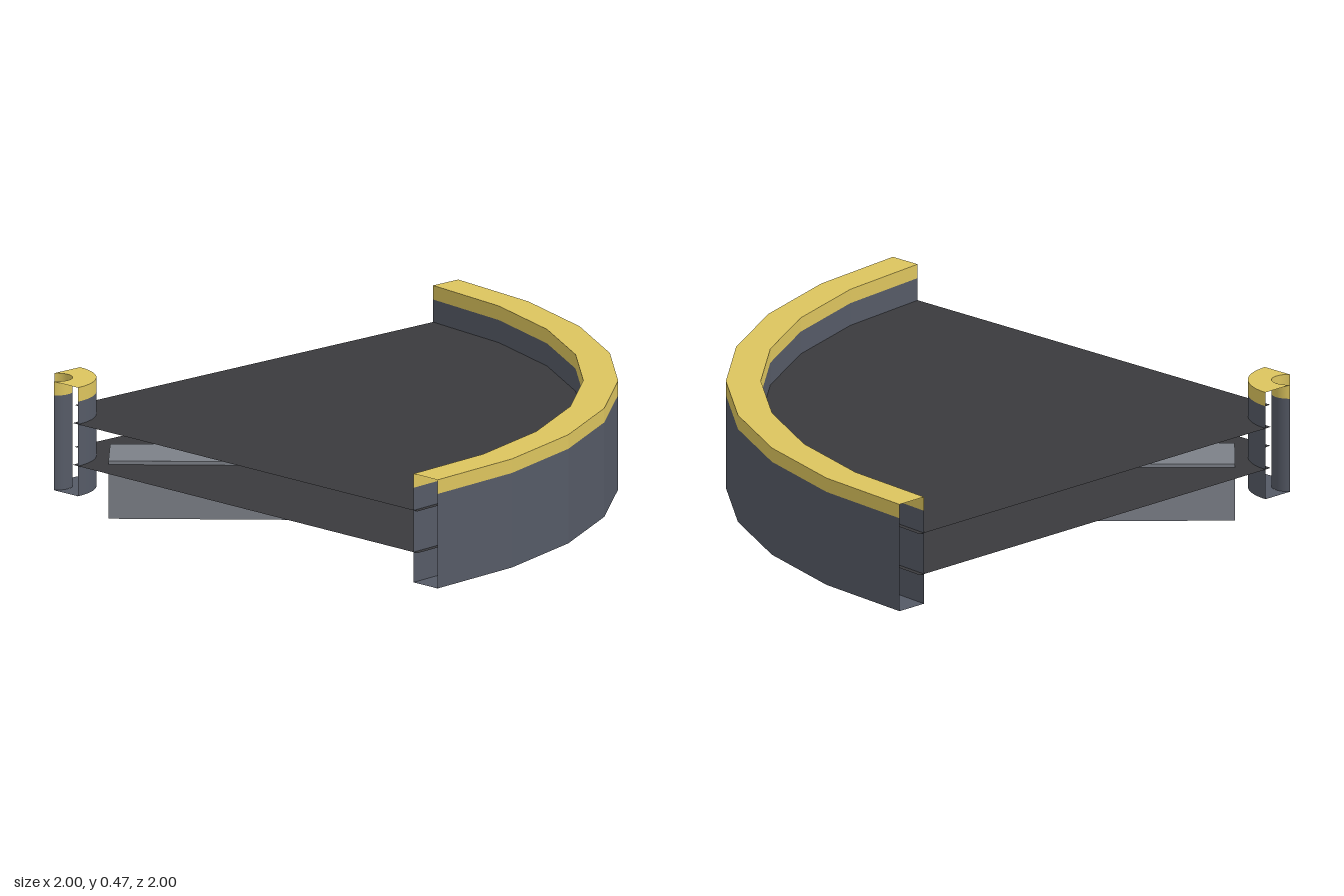
import * as THREE from 'three';

const paint = (color, flatShading = false) =>
  new THREE.MeshStandardMaterial({ color, flatShading, side: THREE.DoubleSide });

const QUARTER = Math.PI / 2;
const BOTTOM = 0.085, SEAM = 0.42, TOP = 0.47;

// Sweep an open (radius, height) profile through the quarter turn; the ends stay open
function sweep(name, profile, segments, material) {
  const points = profile.map(([r, y]) => new THREE.Vector2(r, y));
  const mesh = new THREE.Mesh(new THREE.LatheGeometry(points, segments, QUARTER, QUARTER), material);
  mesh.name = name;
  return mesh;
}

export function createModel() {
  const model = new THREE.Group();
  model.name = 'curvedConveyor';

  const wallFlat = paint(0x555a66, true), wallSmooth = paint(0x555a66);
  const yellowFlat = paint(0xdcc45e, true), yellowSmooth = paint(0xdcc45e);
  const beltMat = paint(0x3a3a3d, true), beamMat = paint(0x7c8088, true);

  // Everything turns around the inner corner
  const pivot = new THREE.Group();
  pivot.name = 'turn';
  pivot.position.set(-1, 0, 1);
  model.add(pivot);

  // Outer guard rail: hollow channel with a yellow cap
  const r0 = 1.88, r1 = 2;
  pivot.add(
    sweep('outerRail', [[r0, SEAM], [r0, BOTTOM], [r1, BOTTOM], [r1, SEAM]], 8, wallFlat),
    sweep('outerRailCap', [[r1, SEAM], [r1, TOP], [r0, TOP], [r0, SEAM]], 8, yellowFlat)
  );

  // Belt: upper and lower run, open at both ends
  pivot.add(
    sweep('beltTop', [[1.9, 0.34], [0.18, 0.34]], 8, beltMat),
    sweep('beltUnderside', [[0.18, 0.192], [1.9, 0.192]], 8, beltMat)
  );

  // Inner post: quarter disc with a round bite taken out of its corner
  const R = 0.205, c = 0.045, r = 0.06;
  const reach = Math.sqrt(r * r - c * c);
  const a0 = Math.atan2(-c, reach), a1 = Math.atan2(reach, -c);
  const outline = new THREE.Shape();
  outline.moveTo(c + reach, 0);
  outline.lineTo(R, 0);
  outline.absarc(0, 0, R, 0, QUARTER, false);
  outline.lineTo(0, c + reach);
  outline.absarc(c, c, r, a1, a0, true);

  const post = new THREE.Group();
  post.name = 'innerPost';
  pivot.add(post);
  for (const [part, y0, y1, material] of [
    ['Body', BOTTOM, SEAM, wallSmooth],
    ['Cap', SEAM, TOP, yellowSmooth],
  ]) {
    post.add(sweep('post' + part + 'Outside', [[R, y0], [R, y1]], 20, material));
    const bite = new THREE.Mesh(
      new THREE.CylinderGeometry(r, r, y1 - y0, 24, 1, true, a0 + QUARTER, a1 - a0), material);
    bite.name = 'post' + part + 'Inside';
    bite.position.set(c, (y0 + y1) / 2, -c);
    post.add(bite);
  }
  for (const [name, y, tilt, material] of [
    ['postBottom', BOTTOM, -QUARTER, wallSmooth],
    ['postTop', TOP, -QUARTER, yellowSmooth],
  ]) {
    const plate = new THREE.Mesh(new THREE.ShapeGeometry(outline, 20), material);
    plate.name = name;
    plate.rotation.x = tilt;
    plate.position.y = y;
    post.add(plate);
  }

  // Diagonal support beam under the belt
  const beam = new THREE.Mesh(new THREE.BoxGeometry(1.58, 0.205, 0.24), beamMat);
  beam.name = 'supportBeam';
  beam.position.set(-0.265, 0.1025, 0.265);
  beam.rotation.y = Math.PI / 4;
  model.add(beam);

  return model;
}
